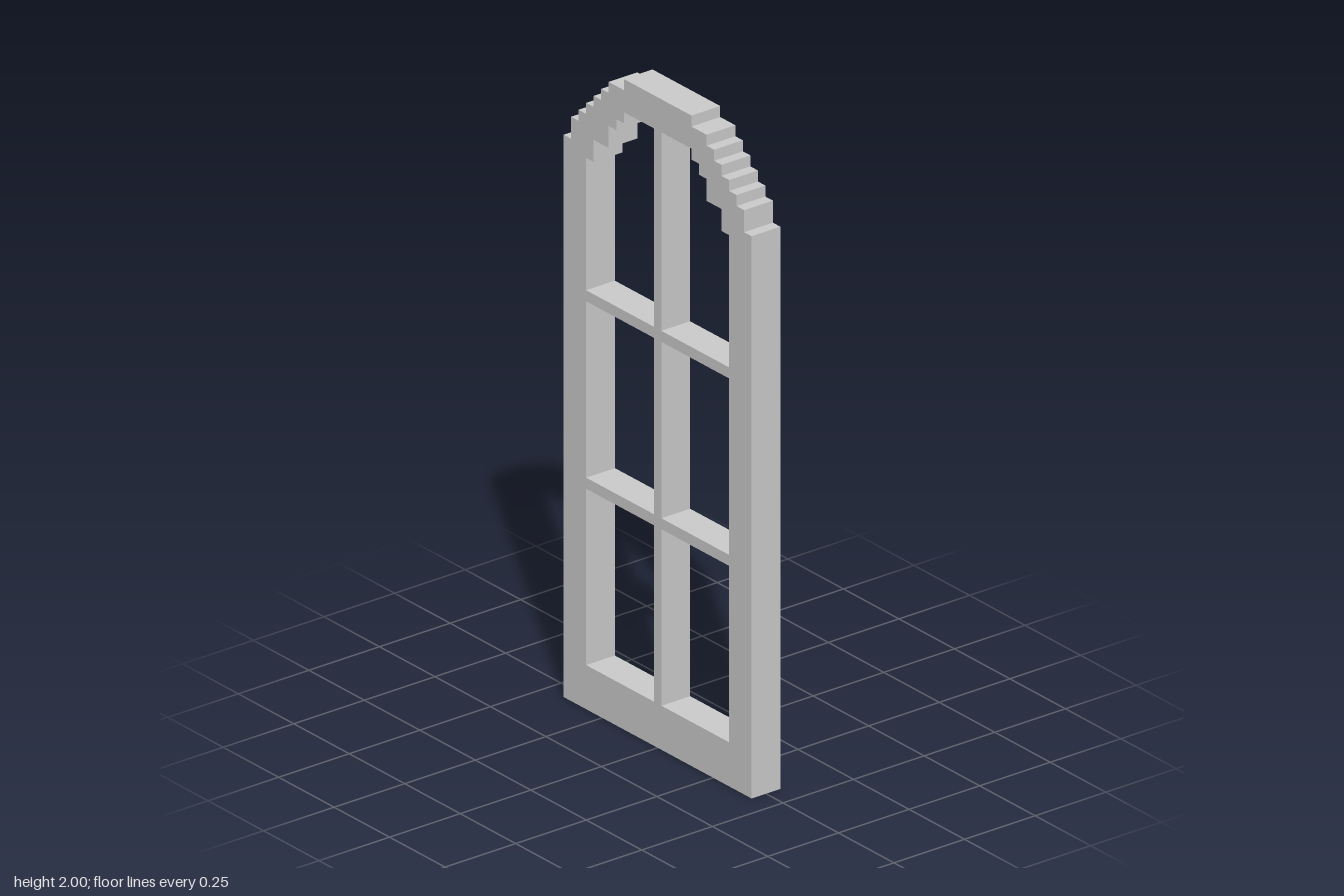
import * as THREE from 'three';

// The whole window sits on a square grid: 59 cells tall, 25 wide, 3 deep
const U = 2 / 59;
const DEPTH = 3 * U;

// Stepped arch outline from [half width, height] treads, widest tread first, mirrored in x
function steppedOutline(bottom, treads) {
  const right = [[treads[0][0], bottom]];
  treads.forEach(([x, y], i) => {
    right.push([x, y]);
    if (i + 1 < treads.length) right.push([treads[i + 1][0], y]);
  });
  const left = right.map(([x, y]) => [-x, y]).reverse();
  return [...right, ...left].map(([x, y]) => new THREE.Vector2(x * U, y * U));
}

export function createModel() {
  const group = new THREE.Group();
  group.name = 'archedWindow';
  const material = new THREE.MeshStandardMaterial({ color: 0xcccccc, flatShading: true });

  function add(name, geometry, x = 0, y = 0) {
    const mesh = new THREE.Mesh(geometry, material);
    mesh.name = name;
    mesh.position.set(x * U, y * U, 0);
    group.add(mesh);
  }

  // Frame with stepped arch outside and a coarser stepped arch inside
  const outer = steppedOutline(0, [
    [12.5, 51], [11.5, 53], [10.5, 54], [9.5, 55],
    [8.5, 56], [7.5, 57], [6.5, 58], [4.5, 59],
  ]);
  const opening = steppedOutline(4, [
    [9.5, 50], [8.5, 52], [6.5, 54], [5.5, 55], [4.5, 56],
  ]);
  const shape = new THREE.Shape(outer);
  shape.holes.push(new THREE.Path(opening));
  const frame = new THREE.ExtrudeGeometry(shape, { depth: DEPTH, bevelEnabled: false });
  frame.translate(0, 0, -DEPTH / 2);
  add('frame', frame);

  // Centre mullion, full height of the opening
  add('mullion', new THREE.BoxGeometry(U, 52 * U, DEPTH), 0, 30);

  // Glazing bars on each side of the mullion
  for (const y of [20.5, 37.5]) {
    for (const side of [-1, 1]) {
      add('glazingBar', new THREE.BoxGeometry(9 * U, U, DEPTH), side * 5, y);
    }
  }
  return group;
}
